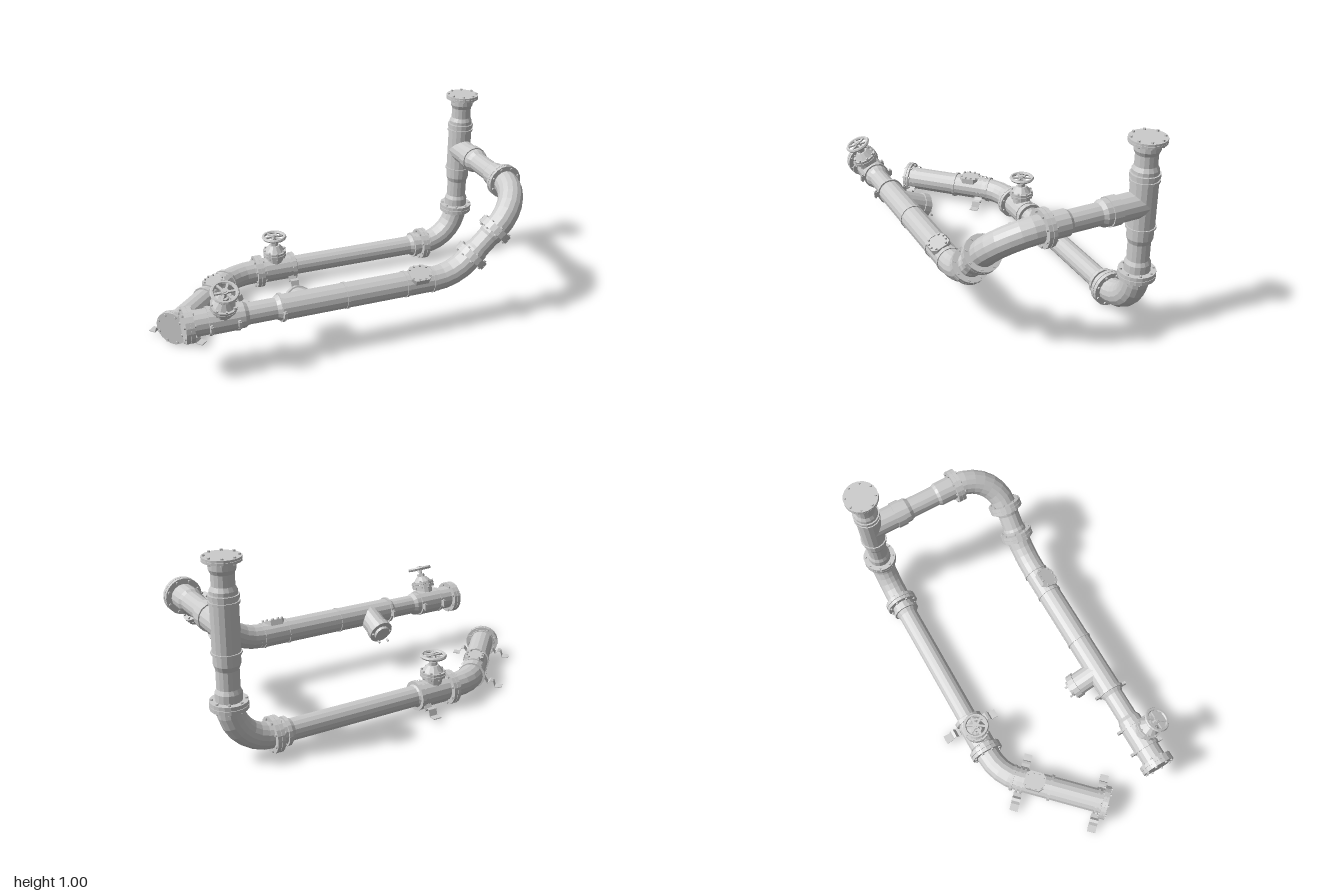
import * as THREE from 'three';

const material = new THREE.MeshStandardMaterial({ color: 0xcccccc, flatShading: true });
const thinMaterial = new THREE.MeshStandardMaterial({ color: 0xcccccc, flatShading: true, side: THREE.DoubleSide });
const V = (x, y, z) => new THREE.Vector3(x, y, z);
const UP = V(0, 1, 0);
const WIDE = 0.065, THIN = 0.054, SIDES = 16;

// Circular bend between two directions, given the point where the straight lines cross
class Bend extends THREE.Curve {
  constructor(corner, from, to, radius) {
    super();
    this.angle = from.angleTo(to);
    this.radius = radius;
    this.from = from;
    this.reach = radius * Math.tan(this.angle / 2);
    this.start = corner.clone().addScaledVector(from, -this.reach);
    this.inward = to.clone().addScaledVector(from, -from.dot(to)).normalize();
  }
  getPoint(t, target = V(0, 0, 0)) {
    const a = t * this.angle;
    return target.copy(this.start)
      .addScaledVector(this.from, this.radius * Math.sin(a))
      .addScaledVector(this.inward, this.radius * (1 - Math.cos(a)));
  }
}

function mesh(parent, name, geometry, x = 0, y = 0, z = 0, mat = material) {
  const m = new THREE.Mesh(geometry, mat);
  m.name = name;
  m.position.set(x, y, z);
  parent.add(m);
  return m;
}

// Group whose y axis points along "up" and x axis along "along"
function frame(parent, name, pos, up, along) {
  const g = new THREE.Group();
  g.name = name;
  g.position.copy(pos);
  if (along) {
    const z = along.clone().cross(up).normalize();
    g.quaternion.setFromRotationMatrix(new THREE.Matrix4().makeBasis(along, up, z));
  } else g.quaternion.setFromUnitVectors(UP, up);
  parent.add(g);
  return g;
}

const cyl = (r, h, n = SIDES) => new THREE.CylinderGeometry(r, r, h, n);

// Turned pipe: profile is [radius, distance along axis], closed at both ends
function pipe(parent, name, pos, dir, profile) {
  const pts = [[0, profile[0][1]], ...profile, [0, profile.at(-1)[1]]];
  const g = frame(parent, name, pos, dir);
  mesh(g, name, new THREE.LatheGeometry(pts.map(p => new THREE.Vector2(...p)), SIDES));
}

// Pair of bolted discs
function flange(parent, pos, dir, r = 0.09, depth = 0.04) {
  const g = frame(parent, 'flange', pos, dir);
  for (const s of [-1, 1]) mesh(g, 'flangeDisc', cyl(r, depth * 0.47, 20), 0, s * depth * 0.265, 0);
  mesh(g, 'gasket', cyl(r * 0.95, depth * 0.2, 20));
  for (let i = 0; i < 8; i++) {
    const a = (i + 0.5) * Math.PI / 4;
    mesh(g, 'bolt', cyl(0.007, depth + 0.016, 6), Math.cos(a) * r * 0.86, 0, Math.sin(a) * r * 0.86);
  }
}

function collar(parent, pos, dir, r = 0.071, depth = 0.014) {
  mesh(frame(parent, 'collar', pos, dir), 'collar', cyl(r, depth));
}

// Split ring with a bolted lug on each side
function clampRing(parent, pos, dir) {
  const g = frame(parent, 'clampRing', pos, UP, dir);
  mesh(g, 'ring', cyl(0.073, 0.014)).rotation.z = Math.PI / 2;
  for (const s of [-1, 1]) {
    mesh(g, 'lug', new THREE.BoxGeometry(0.014, 0.03, 0.026), 0, 0, s * 0.08);
    mesh(g, 'lugBolt', cyl(0.006, 0.045, 6), 0, 0, s * 0.083);
  }
}

function elbow(parent, corner, from, to, radius) {
  const bend = new Bend(corner, from, to, radius);
  const steps = Math.round(bend.angle / (Math.PI / 14));
  mesh(parent, 'elbow', new THREE.TubeGeometry(bend, steps, WIDE, SIDES));
}

// Gate valve: neck, bolted bonnet, stem and spoked handwheel
function valve(parent, pos, up, along) {
  const g = frame(parent, 'valve', pos, up, along);
  mesh(g, 'valveBody', cyl(0.07, 0.13)).rotation.z = Math.PI / 2;
  mesh(g, 'valveNeck', cyl(0.05, 0.1, 12), 0, 0.05, 0);
  for (const y of [0.094, 0.11]) mesh(g, 'bonnetFlange', cyl(0.066, 0.013, 12), 0, y, 0);
  mesh(g, 'bonnet', new THREE.CylinderGeometry(0.03, 0.056, 0.034, 12), 0, 0.133, 0);
  mesh(g, 'stemNut', cyl(0.022, 0.02, 6), 0, 0.158, 0);
  mesh(g, 'stem', cyl(0.01, 0.07, 8), 0, 0.18, 0);
  for (let i = 0; i < 8; i++) {
    const a = i * Math.PI / 4;
    mesh(g, 'bonnetBolt', cyl(0.006, 0.046, 6), 0.058 * Math.cos(a), 0.102, 0.058 * Math.sin(a));
  }
  mesh(g, 'handwheelRim', new THREE.TorusGeometry(0.06, 0.0095, 6, 20), 0, 0.2, 0).rotation.x = Math.PI / 2;
  mesh(g, 'handwheelHub', cyl(0.018, 0.024, 10), 0, 0.2, 0);
  for (let i = 0; i < 3; i++)
    mesh(g, 'handwheelSpoke', new THREE.BoxGeometry(0.115, 0.009, 0.011), 0, 0.2, 0).rotation.y = i * Math.PI / 3;
}

// Bolted inspection cover on a saddle
function hatch(parent, pos, up, along) {
  const g = frame(parent, 'hatch', pos, up, along);
  const shape = new THREE.Shape([[-0.055, -0.03], [-0.035, -0.05], [0.035, -0.05], [0.055, -0.03],
    [0.055, 0.03], [0.035, 0.05], [-0.035, 0.05], [-0.055, 0.03]].map(p => new THREE.Vector2(...p)));
  const cover = new THREE.ExtrudeGeometry(shape, { depth: 0.035, bevelEnabled: false });
  mesh(g, 'hatchCover', cover, 0, 0.036, 0).rotation.x = -Math.PI / 2;
  for (const x of [-0.045, -0.016, 0.016, 0.045]) for (const s of [-1, 1])
    mesh(g, 'hatchBolt', cyl(0.006, 0.014, 6), x, 0.073, s * (Math.abs(x) > 0.03 ? 0.028 : 0.042));
}

// Strap around the pipe with a bent foot on each side
function bracket(parent, pos, along) {
  const g = frame(parent, 'bracket', pos, UP, along);
  for (const x of [-0.012, 0.012])
    mesh(g, 'strap', new THREE.CylinderGeometry(0.075, 0.075, 0.01, SIDES, 1, true), x, 0, 0, thinMaterial).rotation.z = Math.PI / 2;
  const line = [[0.068, -0.03], [0.085, -0.055], [0.1, -0.035], [0.115, -0.04], [0.125, -0.071], [0.162, -0.071]];
  const t = 0.004;
  const outline = [...line, ...line.map(([a, b]) => [a, b + t]).reverse()].map(p => new THREE.Vector2(...p));
  const foot = new THREE.ExtrudeGeometry(new THREE.Shape(outline), { depth: 0.046, bevelEnabled: false });
  foot.translate(0, 0, -0.023);
  for (const s of [-1, 1]) mesh(g, 'foot', foot).rotation.y = s * Math.PI / 2;
}

export function createModel() {
  const root = new THREE.Group();
  root.name = 'pipework';
  const X = V(1, 0, 0), Z = V(0, 0, 1), LEFT = V(-1, 0, 0);
  const Q = Math.SQRT1_2;

  // Lower run: straight pipe, valve and end bend
  const lowY = 0.092, backZ = -0.358, riserX = 0.905;
  const low = x => V(x, lowY, backZ);
  pipe(root, 'lowerPipe', low(0), X, [[WIDE, -0.36], [WIDE, -0.12], [THIN, -0.105], [THIN, 0.6],
    [0.063, 0.62], [0.063, 0.7]]);
  valve(root, low(-0.225), UP, X);
  collar(root, low(0.632), X, 0.073, 0.018);
  flange(root, low(0.69), X);
  flange(root, low(-0.325), X);
  collar(root, low(-0.125), X, 0.078, 0.022);
  bracket(root, low(-0.145), X);

  const slant = V(-Q, 0, Q);
  const lowCorner = low(-0.472);
  const onSlant = d => lowCorner.clone().addScaledVector(slant, d);
  elbow(root, lowCorner, LEFT, slant, 0.28);
  pipe(root, 'slantedPipe', lowCorner, slant, [[WIDE, 0.11], [WIDE, 0.6]]);
  for (const d of [0.08, 0.29]) collar(root, onSlant(d), slant, 0.073);
  hatch(root, onSlant(0.2), UP, slant);
  bracket(root, onSlant(0.125), slant);
  bracket(root, onSlant(0.56), slant);
  flange(root, onSlant(0.592), slant, 0.091, 0.03);

  // Riser
  elbow(root, V(riserX, lowY, backZ), X, UP, 0.212);
  const riser = y => V(riserX, y, backZ);
  pipe(root, 'riser', riser(0), UP, [[0.063, 0.3], [0.063, 0.365], [THIN, 0.385], [THIN, 0.475], [0.063, 0.5],
    [0.063, 0.55], [WIDE, 0.56], [WIDE, 0.82], [0.063, 0.83], [0.063, 0.845], [0.053, 0.865], [0.053, 0.92],
    [0.062, 0.94], [0.062, 0.98]]);
  flange(root, riser(0.305), UP);
  for (const [y, h] of [[0.555, 0.01], [0.79, 0.012], [0.817, 0.018]]) collar(root, riser(y), UP, 0.071, h);
  flange(root, riser(0.986), UP, 0.089, 0.022);

  // Branch from the riser, sweeping forward and down
  const branchY = 0.67, frontZ = 0.37, upperY = 0.285;
  const down = V(-Q, -Q, 0);
  pipe(root, 'branchPipe', V(riserX, branchY, 0), Z, [[WIDE, backZ], [WIDE, -0.14], [THIN, -0.12], [THIN, 0.03],
    [0.063, 0.045], [0.063, 0.16]]);
  collar(root, V(riserX, branchY, -0.192), Z, 0.071, 0.05);
  flange(root, V(riserX, branchY, 0.153), Z, 0.09, 0.04);
  const topCorner = V(riserX, branchY, frontZ);
  const onDown = d => topCorner.clone().addScaledVector(down, d);
  elbow(root, topCorner, Z, down, 0.215);
  pipe(root, 'fallingPipe', topCorner, down, [[0.063, 0.21], [0.063, 0.26], [0.058, 0.275], [0.058, 0.355],
    [0.063, 0.37], [0.063, 0.435]]);
  flange(root, onDown(0.226), down);
  flange(root, onDown(0.406), down);

  // Upper run
  const upper = x => V(x, upperY, frontZ);
  const roll = 0.4;
  const tilted = V(0, Math.cos(roll), Math.sin(roll));
  elbow(root, upper(riserX - (branchY - upperY)), down, LEFT, 0.28);
  pipe(root, 'upperPipe', upper(0), X, [[WIDE, -0.88], [WIDE, -0.6], [THIN, -0.58], [THIN, -0.44],
    [WIDE, -0.42], [WIDE, 0.42]]);
  for (const x of [-0.08, 0.245, 0.392]) collar(root, upper(x), X, 0.069, 0.012);
  for (const x of [-0.77, -0.635, -0.412]) clampRing(root, upper(x), X);
  flange(root, upper(-0.87), X, 0.09, 0.042);
  valve(root, upper(-0.7), tilted, X);
  hatch(root, upper(0.315), tilted, X);

  // Capped outlet on the rear of the upper run
  const outlet = V(0, -Math.sin(roll), -Math.cos(roll));
  const onOutlet = d => upper(-0.278).addScaledVector(outlet, d);
  pipe(root, 'outlet', upper(-0.278), outlet, [[0.063, 0], [0.063, 0.165]]);
  collar(root, onOutlet(0.15), outlet, 0.07, 0.035);
  mesh(frame(root, 'outletCap', onOutlet(0.175), outlet), 'outletCap', cyl(0.045, 0.02));
  for (let i = 0; i < 6; i++) {
    const a = i * Math.PI / 3;
    const p = onOutlet(0.17).addScaledVector(X, 0.056 * Math.cos(a)).addScaledVector(tilted, 0.056 * Math.sin(a));
    mesh(frame(root, 'outletBolt', p, outlet), 'outletBolt', cyl(0.006, 0.016, 6));
  }
  return root;
}
